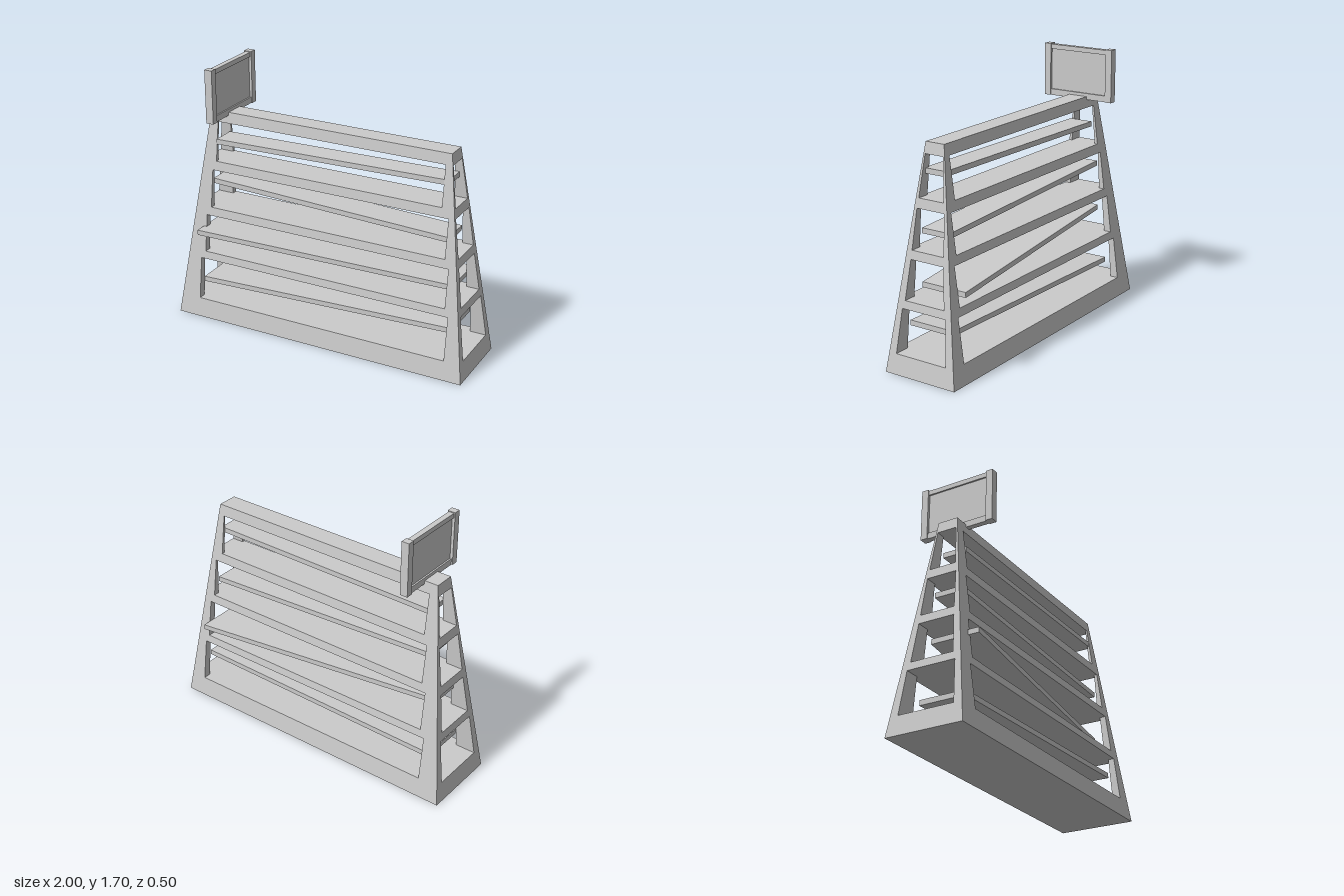
import * as THREE from 'three';

const HEIGHT = 1.38;
// half width and half depth of the tapering tower at height y
const outerX = (y) => 1 - 0.185 * (y / HEIGHT);
const outerZ = (y) => 0.25 - 0.185 * (y / HEIGHT);

const material = new THREE.MeshStandardMaterial({ color: 0xcccccc, flatShading: true });

// Six-sided block; rule(i, j, k) gives the corner for low/high (0/1) x, y and z.
function block(name, rule) {
  const geometry = new THREE.BoxGeometry(1, 1, 1);
  const p = geometry.attributes.position;
  for (let n = 0; n < p.count; n++) {
    const bit = (v) => (v > 0 ? 1 : 0);
    p.setXYZ(n, ...rule(bit(p.getX(n)), bit(p.getY(n)), bit(p.getZ(n))));
  }
  geometry.computeVertexNormals();
  const mesh = new THREE.Mesh(geometry, material);
  mesh.name = name;
  return mesh;
}

const straightBlock = (name, xs, ys, zs) => block(name, (i, j, k) => [xs[i], ys[j], zs[k]]);

export function createModel() {
  const model = new THREE.Group();

  // Solid tapered base, shelves and cap
  const shelves = new THREE.Group();
  shelves.name = 'shelves';
  const slabs = [[0, 0.125], [0.4, 0.45], [0.695, 0.75], [0.995, 1.055], [1.31, HEIGHT]];
  slabs.forEach((ys, n) => {
    const name = n === 0 ? 'base' : n === slabs.length - 1 ? 'cap' : 'shelf';
    shelves.add(block(name, (i, j, k) => {
      const y = ys[j];
      return [(2 * i - 1) * outerX(y), y, (2 * k - 1) * outerZ(y)];
    }));
  });
  model.add(shelves);

  // Corner posts of each open level: inner x on the left and right, inner z at bottom and top
  const posts = new THREE.Group();
  posts.name = 'cornerPosts';
  const levels = [
    { left: 0.85, right: 0.88, z: [0.18, 0.157] },
    { left: 0.82, right: 0.856, z: [0.14, 0.117] },
    { left: 0.79, right: 0.828, z: [0.113, 0.097] },
    { left: 0.765, right: 0.78, z: [0.088, 0.063] },
  ];
  levels.forEach((level, n) => {
    const ys = [slabs[n][1], slabs[n + 1][0]];
    for (const sx of [-1, 1]) {
      for (const sz of [-1, 1]) {
        posts.add(block('cornerPost', (i, j, k) => {
          const y = ys[j];
          const x = (sx > 0) === (i === 1) ? outerX(y) : sx > 0 ? level.right : level.left;
          const z = (sz > 0) === (k === 1) ? outerZ(y) : level.z[j];
          return [sx * x, y, sz * z];
        }));
      }
    }
  });
  model.add(posts);

  // Sloping boards: x ends, underside height at each end, z range at each end
  const ramps = new THREE.Group();
  ramps.name = 'ramps';
  const boards = [
    { x: [-0.85, 0.88], y: [0.22, 0.275], z: [[-0.135, 0.17], [-0.158, 0.153]] },
    { x: [-0.84, 0.855], y: [0.583, 0.52], z: [[-0.075, 0.243], [-0.232, 0.077]] },
    { x: [-0.795, 0.825], y: [0.9, 0.835], z: [[-0.09, 0.102], [-0.102, 0.096]] },
    { x: [-0.765, 0.81], y: [1.168, 1.19], z: [[-0.06, 0.1], [-0.067, 0.085]] },
  ];
  for (const b of boards) {
    ramps.add(block('ramp', (i, j, k) => [b.x[i], b.y[i] + 0.033 * j, b.z[i][k]]));
  }
  model.add(ramps);

  // Framed sign standing across the cap
  const sign = new THREE.Group();
  sign.name = 'sign';
  sign.add(straightBlock('signPanel', [-0.715, -0.7], [1.37, 1.69], [-0.21, 0.21]));
  for (const ys of [[1.36, 1.4], [1.665, 1.695]]) {
    sign.add(straightBlock('signRail', [-0.725, -0.69], ys, [-0.21, 0.21]));
  }
  for (const zs of [[-0.25, -0.205], [0.207, 0.252]]) {
    sign.add(straightBlock('signPost', [-0.733, -0.683], [1.36, 1.7], zs));
  }
  model.add(sign);

  return model;
}
